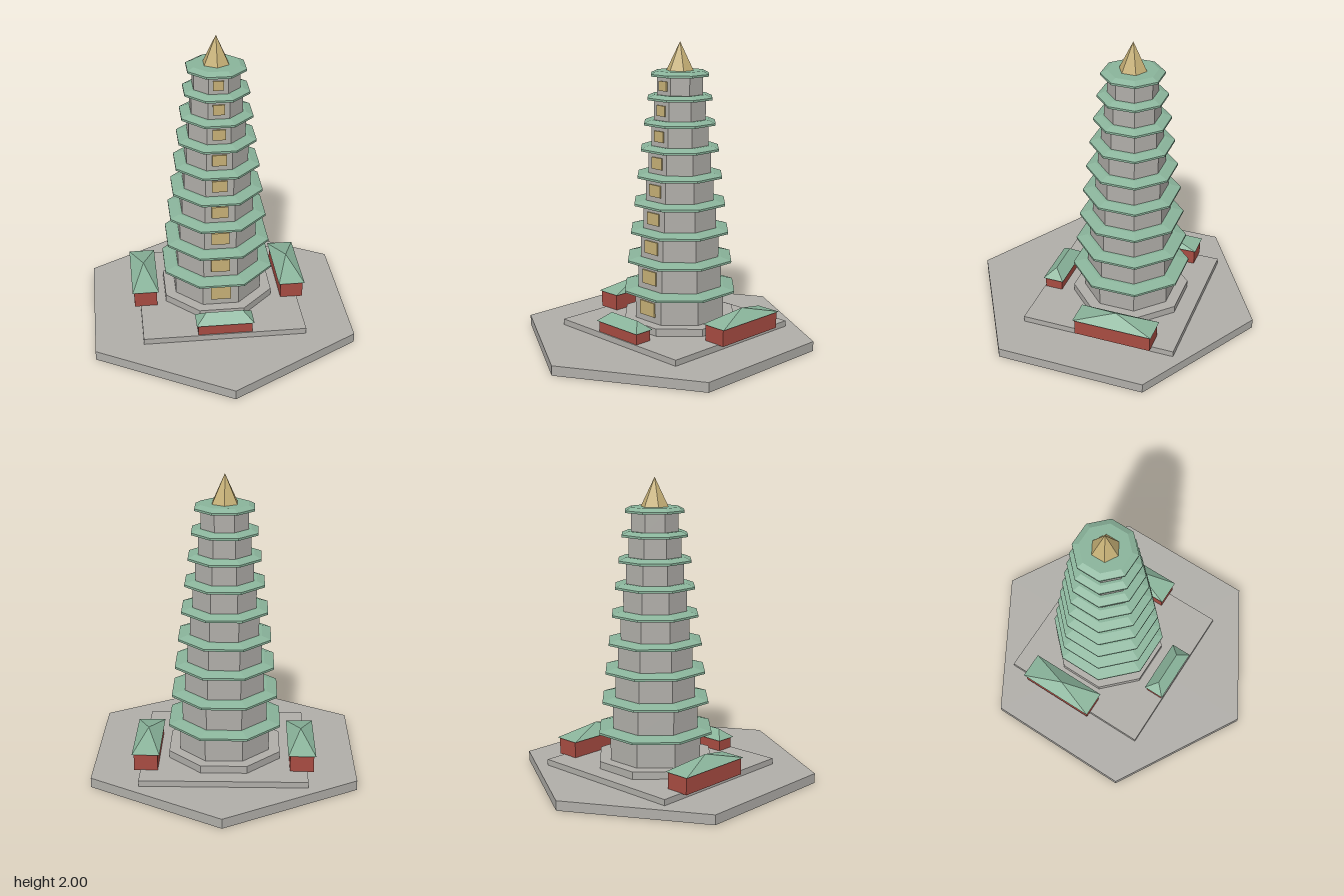
import * as THREE from 'three';
import { ConvexGeometry } from 'three/addons/geometries/ConvexGeometry.js';

const material = (name, color) => {
  const m = new THREE.MeshStandardMaterial({ color });
  m.name = name;
  return m;
};

export function createModel() {
  const stone = material('grey stone', 0xb0aea9);
  const tile = material('green roof tile', 0x8ab49b);
  const red = material('red wall', 0xa84c42);
  const gold = material('gold', 0xc6b076);

  const model = new THREE.Group();
  model.name = 'pagoda';

  const add = (parent, name, geometry, mat, x, y, z) => {
    const mesh = new THREE.Mesh(geometry, mat);
    mesh.name = name;
    mesh.position.set(x, y, z);
    parent.add(mesh);
    return mesh;
  };

  // Faceted prism or frustum standing on y = 0
  const prism = (top, bottom, h, sides, turn = 0) => {
    const g = new THREE.CylinderGeometry(top, bottom, h, sides).toNonIndexed();
    g.translate(0, h / 2, 0).rotateY(turn);
    g.computeVertexNormals();
    return g;
  };
  // Octagon measured across its flats, one flat facing the front
  const octagon = (top, bottom, h) => {
    const k = 1 / Math.cos(Math.PI / 8);
    return prism(top * k, bottom * k, h, 8, Math.PI / 8);
  };
  // Hipped roof; a ridge of 0 gives a pyramid
  const hipRoof = (w, d, h, ridge) => {
    const points = [];
    for (const x of [-1, 1]) {
      for (const z of [-1, 1]) points.push(new THREE.Vector3(x * w / 2, 0, z * d / 2));
      if (ridge > 0) points.push(new THREE.Vector3(x * ridge / 2, h, 0));
    }
    if (ridge === 0) points.push(new THREE.Vector3(0, h, 0));
    return new ConvexGeometry(points);
  };

  // Terraces
  add(model, 'hexagonal base', prism(1, 1, 0.065, 6), stone, 0, 0, 0);
  add(model, 'square terrace', new THREE.BoxGeometry(1.09, 0.04, 1.06), stone, 0, 0.085, -0.072);

  // Tower
  const tower = new THREE.Group();
  tower.name = 'tower';
  tower.position.z = -0.12;
  model.add(tower);
  add(tower, 'octagonal plinth', octagon(0.367, 0.367, 0.05), stone, 0, 0.105, 0);

  const eaveHeights = [0.335, 0.542, 0.738, 0.926, 1.11, 1.29, 1.46, 1.625, 1.778];
  const rim = 0.014, slope = 0.02;
  let floor = 0.155;
  eaveHeights.forEach((eaveY, i) => {
    const storey = new THREE.Group();
    storey.name = `storey ${i + 1}`;
    tower.add(storey);
    const wall = 0.295 - i * 0.018;
    const eave = 0.367 - i * 0.0222;
    const h = eaveY - floor;
    add(storey, 'wall', octagon(wall, wall, h), stone, 0, floor, 0);
    add(storey, 'window', new THREE.BoxGeometry(wall * 0.46, h * 0.53, 0.02), gold, 0, floor + h / 2, wall);
    add(storey, 'eave rim', octagon(eave, eave, rim), tile, 0, eaveY, 0);
    add(storey, 'eave roof', octagon(wall, eave, slope), tile, 0, eaveY + rim, 0);
    floor = eaveY + rim + slope;
  });
  add(tower, 'spire', prism(0, 0.092, 2 - floor, 6), gold, 0, floor, 0);

  // Surrounding halls
  const hall = (name, x, z, w, d, h, roofW, roofD, roofH, ridge) => {
    const g = new THREE.Group();
    g.name = name;
    g.position.set(x, 0.102, z);
    add(g, 'hall wall', new THREE.BoxGeometry(w, h, d), red, 0, h / 2, 0);
    add(g, 'hall roof', hipRoof(roofW, roofD, roofH, ridge), tile, 0, h, 0);
    model.add(g);
  };
  for (const s of [-1, 1]) {
    hall(s > 0 ? 'left hall' : 'right hall', s * 0.509, -0.19, 0.155, 0.525, 0.114, 0.18, 0.545, 0.07, 0);
  }
  hall('front hall', 0, 0.39, 0.36, 0.12, 0.078, 0.385, 0.144, 0.06, 0.245);

  return model;
}
